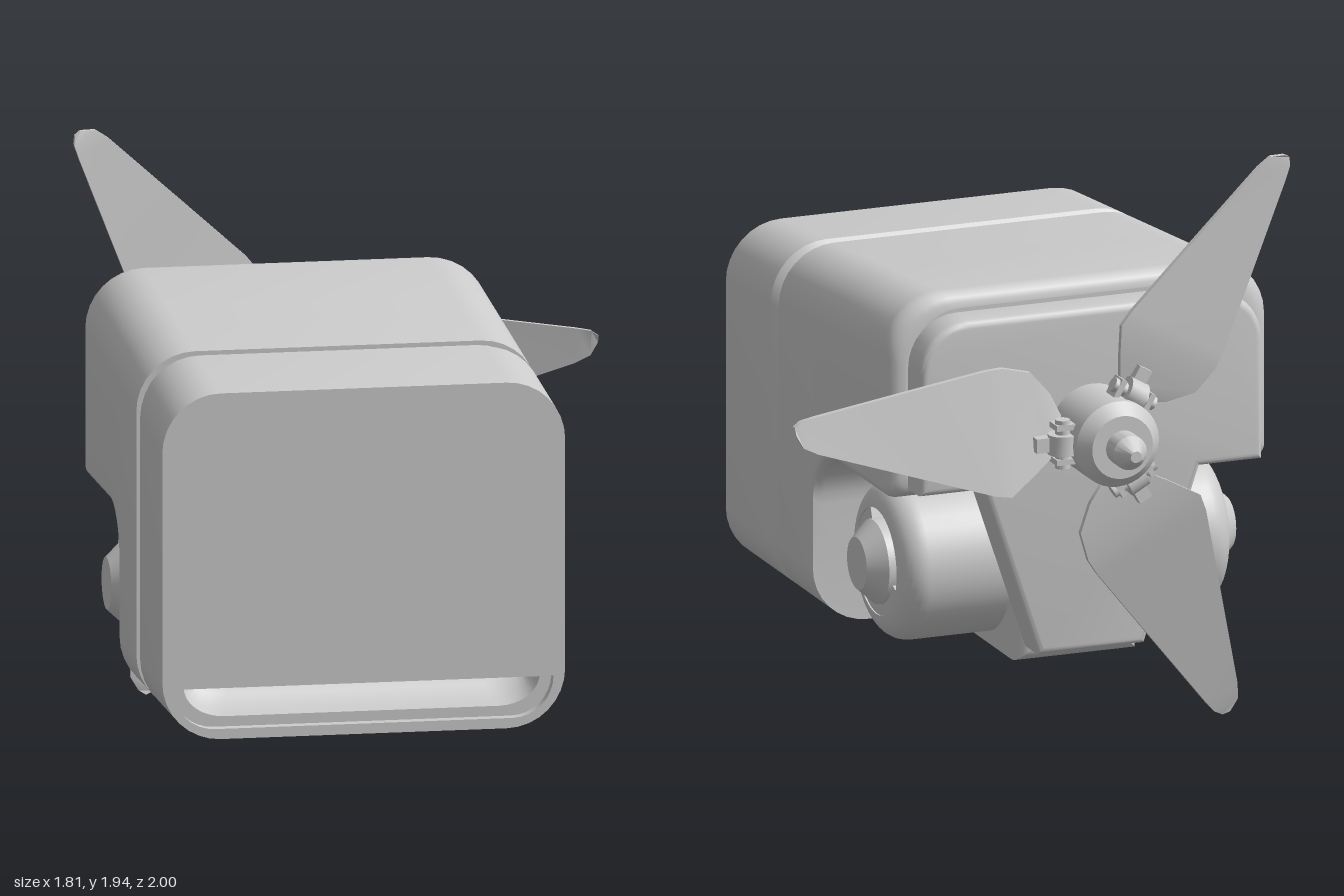
import * as THREE from 'three';
import { mergeGeometries, toCreasedNormals } from 'three/addons/utils/BufferGeometryUtils.js';

const grey = new THREE.MeshStandardMaterial({ color: 0xcccccc });
const CX = -0.215; // centre line of the body
const V2 = (x, y) => new THREE.Vector2(x, y);

function add(parent, name, geometry, crease = 0.6) {
  const mesh = new THREE.Mesh(crease ? toCreasedNormals(geometry, crease) : geometry, grey);
  mesh.name = name;
  parent.add(mesh);
  return mesh;
}

// Skin over equal-length rings of [x, y, z]; optional fan caps for convex ends
function loft(rings, caps = false) {
  const n = rings[0].length, index = [];
  for (let i = 0; i < rings.length - 1; i++)
    for (let j = 0; j < n; j++) {
      const k = (j + 1) % n;
      const a = i * n + j, b = i * n + k, d = a + n, c = b + n;
      index.push(a, d, b, b, d, c);
    }
  if (caps) {
    const e = (rings.length - 1) * n;
    for (let j = 1; j < n - 1; j++) index.push(0, j, j + 1, e, e + j + 1, e + j);
  }
  const g = new THREE.BufferGeometry();
  g.setAttribute('position', new THREE.Float32BufferAttribute(rings.flat(2), 3));
  g.setIndex(index);
  g.computeVertexNormals();
  return g;
}

function arc(cx, cy, rx, ry, from, to, steps = 8) {
  return Array.from({ length: steps + 1 }, (_, i) => {
    const a = THREE.MathUtils.degToRad(from + (to - from) * i / steps);
    return [cx + rx * Math.cos(a), cy + ry * Math.sin(a)];
  });
}

// Counter-clockwise body outline at depth z; notch lifts the outer bottom edge
function section(z, inset = 0, notch = null) {
  const top = 1.477 - 0.098 * z - inset, w = 0.69 - inset, bottom = 0.19 + inset;
  const low = notch === null ? bottom : notch + inset;
  const r = notch === null ? 0.2 : 0.04, core = 0.22 - inset;
  const right = [[core, bottom], [core, low],
    ...arc(w - r, low + r, r, r, -90, 0), ...arc(w - 0.2, top - 0.2, 0.2, 0.2, 0, 90)];
  const left = right.map(([x, y]) => [-x, y]).reverse();
  return [...right, ...left].map(([x, y]) => [x, y, z]);
}

function slotRing(z, w, bottom) {
  const top = 0.365, c = w - 0.14, h = top - bottom;
  return [...arc(-c, top, 0.14, h, 180, 270), ...arc(c, top, 0.14, h, -90, 0)]
    .map(([x, y]) => [x, y, z]).reverse();
}

const toPath = (ring) => ring.map(([x, y]) => V2(x, y));

function makeBody() {
  const body = new THREE.Group();
  body.name = 'body';
  body.position.x = CX;

  // Shell with seam groove, wheel notches and a rounded rear edge
  const rings = [section(1), section(0.59), section(0.55, 0.04), section(0.55, 0.015),
    section(0.52, 0.015), section(0.52), section(0.21)];
  for (const [z, y] of arc(0.01, 0.61, 0.2, 0.2, 0, 90)) rings.push(section(z, 0, y));
  for (const [z, s] of arc(-0.42, 0, 0.06, 0.06, 0, 90, 5).map(([c, y]) => [-0.42 - y, 0.06 - (c + 0.42)]))
    rings.push(section(z, s, 0.81));
  const rear = new THREE.ShapeGeometry(new THREE.Shape(toPath(rings[rings.length - 1])));
  rear.rotateY(Math.PI).translate(0, 0, -0.48);
  add(body, 'shell', loft(rings));
  add(body, 'rearWall', rear);

  // Front face and its recessed slot
  const slot = [slotRing(1, 0.65, 0.225), slotRing(0.96, 0.65, 0.225), slotRing(0.96, 0.61, 0.26),
    slotRing(0.9, 0.6, 0.27), slotRing(0.84, 0.58, 0.31), slotRing(0.81, 0.57, 0.364)];
  const face = new THREE.Shape(toPath(rings[0]));
  face.holes.push(new THREE.Path(toPath(slot[0])));
  add(body, 'frontFace', new THREE.ShapeGeometry(face).translate(0, 0, 1));
  add(body, 'frontSlot', loft(slot));

  // Rear plate: wide on top, tapering between the wheels
  const b = 0.025;
  const right = [[0.2 - b, 0.25 + b], [0.4 - b, 0.85 + b], [0.62 - b, 0.85 + b],
    ...arc(0.47 - b, 1.3 - b, 0.15, 0.15, 0, 90)];
  const plate = new THREE.Shape([...right, ...right.map(([x, y]) => [-x, y]).reverse()].map((p) => V2(...p)));
  const plateGeo = new THREE.ExtrudeGeometry(plate,
    { depth: 0.1, bevelSize: b, bevelThickness: b, bevelSegments: 4 });
  add(body, 'rearPlate', plateGeo.translate(0, 0, -0.575));
  return body;
}

function makeWheel(side) {
  const wheel = new THREE.Group();
  wheel.name = side > 0 ? 'leftWheel' : 'rightWheel';
  wheel.position.set(CX, 0.5, -0.14);
  wheel.rotation.y = side * Math.PI / 2; // local +z points outwards
  // Rounded drum, recessed ring and bevelled cap turned as one
  const profile = [[0, 0.67], [0.09, 0.67], [0.145, 0.61], [0.145, 0.5], [0.185, 0.5],
    ...arc(0.185, 0.51, 0.09, 0.09, 90, 0), [0.275, 0.2], [0, 0.2]].reverse();
  add(wheel, 'drum', new THREE.LatheGeometry(profile.map((p) => V2(...p)), 40).rotateX(Math.PI / 2));
  // Filler that leaves only a curved slot open
  const [a, z] = side > 0 ? [110, 340] : [-160, 70];
  const ring = new THREE.Shape([...arc(0, 0, 0.187, 0.187, a, z, 24), ...arc(0, 0, 0.14, 0.14, z, a, 24)]
    .map((p) => V2(...p)));
  add(wheel, 'slotFiller', new THREE.ExtrudeGeometry(ring, { depth: 0.1, bevelEnabled: false }).translate(0, 0, 0.495));
  return wheel;
}

function makePropeller() {
  const prop = new THREE.Group();
  prop.name = 'propeller';
  prop.position.set(CX, 1.035, 0);

  // Hub and shaft, turned about z towards the rear
  const profile = [[0, 0.57], [0.15, 0.57], [0.15, 0.83], [0.11, 0.875], [0.06, 0.875],
    [0.06, 0.945], [0.02, 1], [0, 1]];
  add(prop, 'hub', new THREE.LatheGeometry(profile.map((p) => V2(...p)), 36).rotateX(-Math.PI / 2));

  // Blade stations: radius, lower edge, upper edge, lower z, upper z
  const stations = [[0.15, -0.03, 0.08, -0.72, -0.69], [0.19, -0.05, 0.16, -0.725, -0.69],
    [0.26, -0.1, 0.24, -0.745, -0.69], [0.36, -0.165, 0.265, -0.775, -0.69],
    [0.42, -0.155, 0.262, -0.772, -0.69], [0.7, -0.065, 0.22, -0.745, -0.69],
    [1.04, 0.045, 0.168, -0.715, -0.69], [1.09, 0.07, 0.158, -0.71, -0.69], [1.115, 0.115, 0.14, -0.705, -0.69]];
  const t = 0.02;
  const rings = stations.map(([u, v0, v1, z0, z1]) =>
    [[u, v0, z0 + t], [u, v1, z1 + t], [u, v1, z1], [u, v0, z0]]);
  const blade = loft(rings, true);

  // Hinge: knuckle, pin ends and two lugs
  const hinge = mergeGeometries([
    new THREE.CylinderGeometry(0.05, 0.05, 0.07, 20).translate(0.17, 0, -0.755),
    new THREE.CylinderGeometry(0.025, 0.025, 0.17, 14).translate(0.17, 0, -0.755),
    new THREE.BoxGeometry(0.08, 0.02, 0.07).translate(0.16, 0.06, -0.745),
    new THREE.BoxGeometry(0.08, 0.02, 0.07).translate(0.16, -0.06, -0.745),
    new THREE.BoxGeometry(0.09, 0.05, 0.05).translate(0.22, 0, -0.735),
  ]);

  for (let i = 0; i < 3; i++) {
    const arm = new THREE.Group();
    arm.name = 'bladeArm';
    arm.rotation.z = i * Math.PI * 2 / 3;
    add(arm, 'blade', blade, 0.5);
    add(arm, 'bladeHinge', hinge);
    prop.add(arm);
  }
  return prop;
}

export function createModel() {
  const model = new THREE.Group();
  model.name = 'propellerPod';
  model.add(makeBody(), makeWheel(1), makeWheel(-1), makePropeller());
  return model;
}
